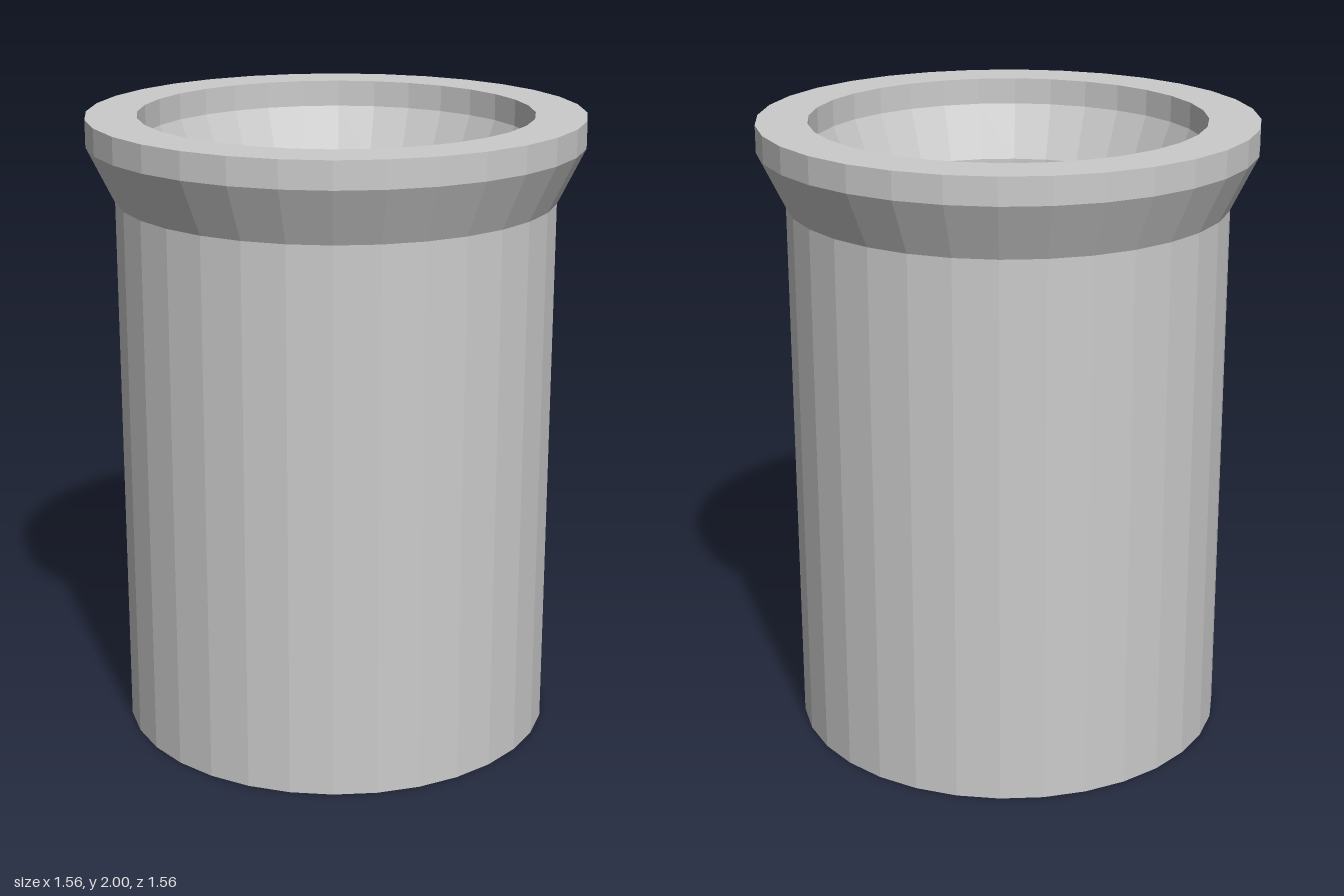
import * as THREE from 'three';

const SIDES = 32;

export function createModel() {
  const group = new THREE.Group();
  group.name = 'flaredCup';
  const material = new THREE.MeshStandardMaterial({ color: 0xcccccc, flatShading: true });

  // Each part is a turned profile of [radius, height] points
  const turn = (name, profile) => {
    const points = profile.map(([r, y]) => new THREE.Vector2(r, y));
    const mesh = new THREE.Mesh(new THREE.LatheGeometry(points, SIDES), material);
    mesh.name = name;
    group.add(mesh);
  };

  // Closed base and straight outer wall
  turn('outerWall', [[0, 0], [0.695, 0], [0.695, 1.74]]);

  // Flared collar: outer flare, flat lip, then the matching inner funnel
  turn('flaredRim', [
    [0.695, 1.74], [0.78, 1.915], [0.78, 2],
    [0.62, 2], [0.62, 1.915], [0.55, 1.74],
  ]);

  // Bore down to the inside floor
  turn('innerWall', [[0.55, 1.74], [0.55, 0.15], [0, 0.15]]);

  return group;
}
